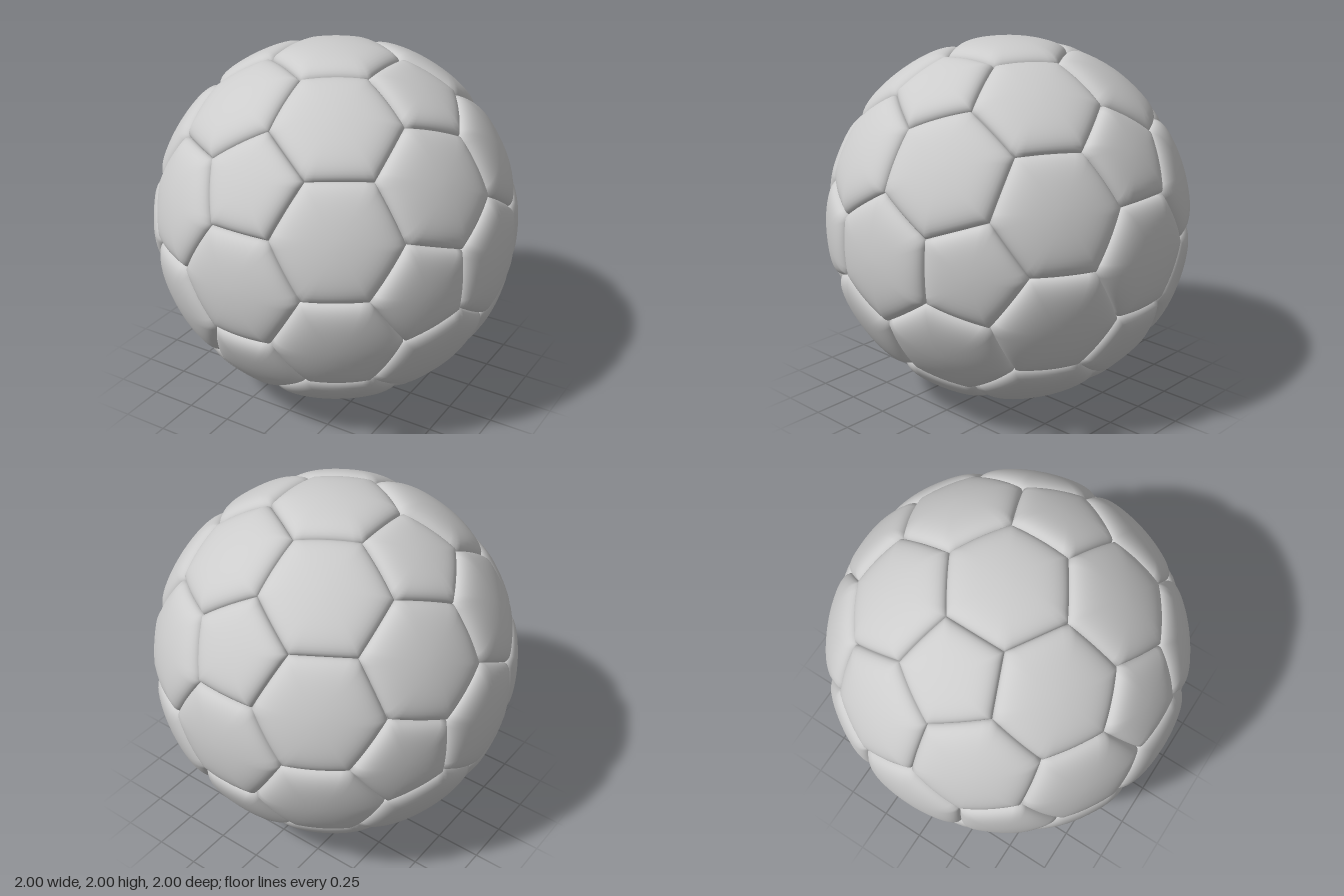
import * as THREE from 'three';

const SEAM = 0.943;                              // radius of the seams; panel centres reach 1
const PENT = THREE.MathUtils.degToRad(17.15);    // angular radius of a five-sided panel
const RINGS = 14, STEPS = 8;

// Pillow profile: nearly spherical, dropping steeply at the rim (t = 1)
const radius = t => SEAM + (1 - SEAM) * Math.sqrt(Math.max(0, 1 - t ** 6));

// One puffed panel around the direction c, bounded by the given corner directions
function panelGeometry(c, corners) {
  const u = corners[0].clone().addScaledVector(c, -corners[0].dot(c)).normalize();
  const v = c.clone().cross(u);
  const angle = p => Math.atan2(p.dot(v), p.dot(u));
  const loop = [...corners].sort((a, b) => angle(a) - angle(b));

  const rim = [];
  loop.forEach((a, i) => {
    const b = loop[(i + 1) % loop.length];
    for (let k = 0; k < STEPS; k++) rim.push(a.clone().lerp(b, k / STEPS).normalize());
  });

  const n = rim.length, pos = [c.x, c.y, c.z], index = [];
  for (let i = 1; i <= RINGS; i++) {
    const t = Math.sin(i / RINGS * Math.PI / 2);   // rings crowd towards the rim
    for (const p of rim) {
      const q = c.clone().lerp(p, t).setLength(radius(t));
      pos.push(q.x, q.y, q.z);
    }
  }
  for (let j = 0; j < n; j++) {
    const k = (j + 1) % n;
    index.push(0, 1 + j, 1 + k);
    for (let i = 0; i < RINGS - 1; i++) {
      const a = 1 + i * n, b = a + n;
      index.push(a + j, b + j, b + k, a + j, b + k, a + k);
    }
  }
  const g = new THREE.BufferGeometry();
  g.setAttribute('position', new THREE.Float32BufferAttribute(pos, 3));
  g.setIndex(index);
  g.computeVertexNormals();
  return g;
}

export function createModel() {
  const ball = new THREE.Group();
  ball.name = 'ball';
  const grey = new THREE.MeshStandardMaterial({ color: 0xcccccc });
  grey.name = 'light grey';

  // Centres of the twelve five-sided panels: icosahedron corners
  const phi = (1 + Math.sqrt(5)) / 2, pents = [];
  for (const s of [-1, 1]) for (const w of [-phi, phi]) {
    pents.push(new THREE.Vector3(0, s, w), new THREE.Vector3(w, 0, s), new THREE.Vector3(s, w, 0));
  }
  pents.forEach(p => p.normalize());
  const near = (a, b) => a.dot(b) > 0.4;

  // Centres of the thirty six-sided panels, and all corners where three panels meet
  const hexes = [], corners = [];
  pents.forEach((a, i) => pents.forEach((b, j) => {
    if (j <= i || !near(a, b)) return;
    hexes.push(a.clone().add(b).normalize());
    pents.forEach((c, k) => {
      if (k <= j || !near(a, c) || !near(b, c)) return;
      const d = a.clone().add(b).add(c).normalize();
      corners.push(d);
      for (const p of [a, b, c]) {
        const axis = p.clone().cross(d).normalize();
        corners.push(p.clone().applyAxisAngle(axis, PENT));
      }
    });
  }));

  const addPanels = (centres, name) => centres.forEach((c, i) => {
    const mesh = new THREE.Mesh(panelGeometry(c, corners.filter(p => p.dot(c) > 0.9)), grey);
    mesh.name = name + (i + 1);
    mesh.position.y = 1;
    ball.add(mesh);
  });
  addPanels(pents, 'pentagonPanel');
  addPanels(hexes, 'hexagonPanel');
  return ball;
}
